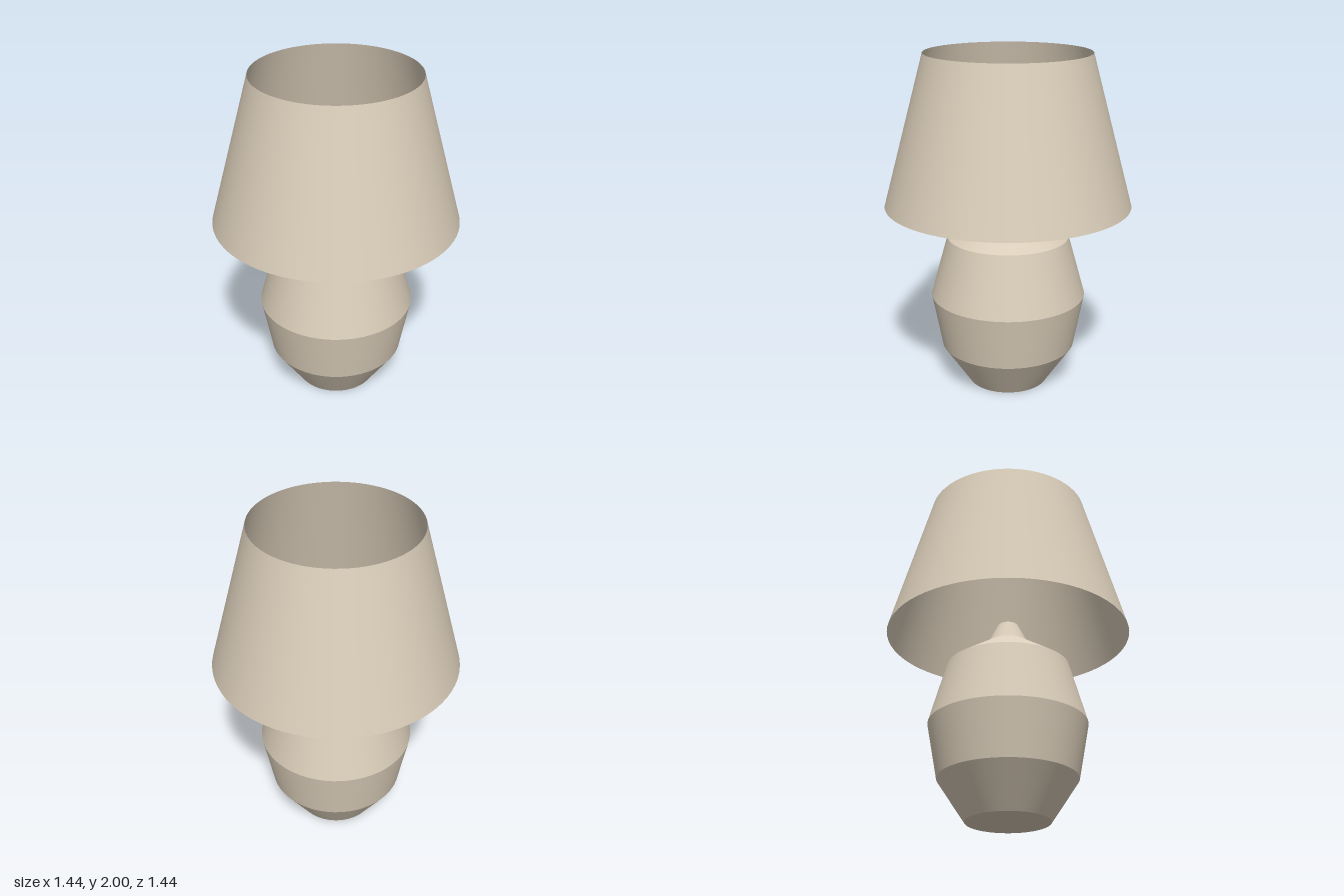
import * as THREE from 'three';
import { mergeGeometries } from 'three/addons/utils/BufferGeometryUtils.js';

const SIDES = 72;

// Open conical band between two [radius, height] rings
function band([r0, y0], [r1, y1]) {
  return new THREE.CylinderGeometry(r1, r0, y1 - y0, SIDES, 1, true).translate(0, (y0 + y1) / 2, 0);
}

// Flat disc closing a ring, facing up or down
function disc([r, y], up) {
  return new THREE.CircleGeometry(r, SIDES).rotateX(up ? -Math.PI / 2 : Math.PI / 2).translate(0, y, 0);
}

export function createModel() {
  const beige = new THREE.MeshStandardMaterial({ color: 0xd9ccb8, side: THREE.DoubleSide });
  beige.name = 'warm beige';

  const lamp = new THREE.Group();
  lamp.name = 'tableLamp';

  // Angular vase base: one band per profile step keeps the ridges sharp
  const profile = [[0.24, 0], [0.4, 0.24], [0.46, 0.56], [0.36, 0.92], [0.12, 1.08], [0.06, 1.2]];
  const parts = [disc(profile[0], false)];
  for (let i = 0; i < profile.length - 1; i++) parts.push(band(profile[i], profile[i + 1]));
  parts.push(disc(profile[profile.length - 1], true));
  const base = new THREE.Mesh(mergeGeometries(parts), beige);
  base.name = 'base';

  // Thin shade, open at both ends
  const shade = new THREE.Mesh(band([0.72, 1.12], [0.48, 2]), beige);
  shade.name = 'shade';

  lamp.add(base, shade);
  return lamp;
}
